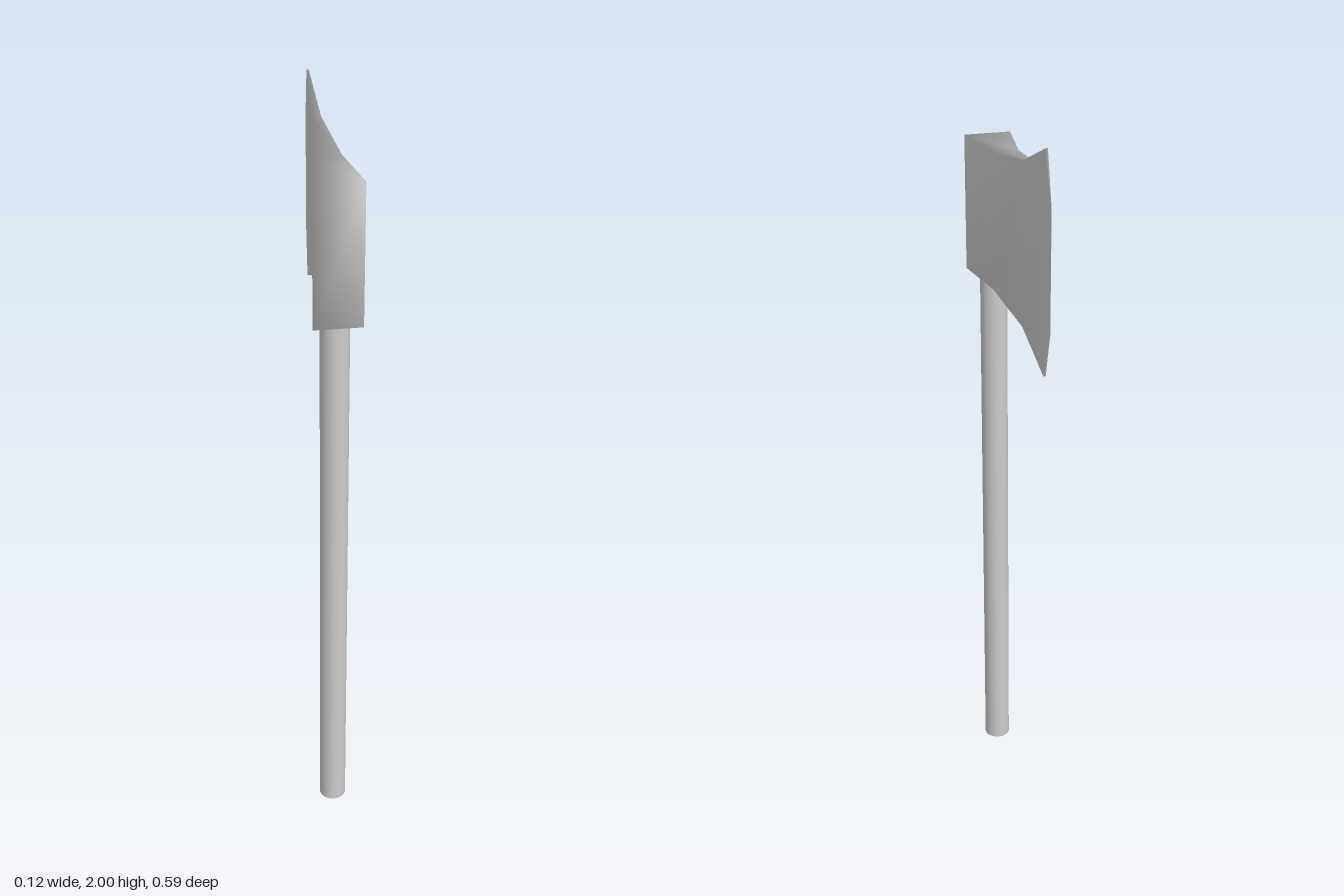
import * as THREE from 'three';

const material = new THREE.MeshStandardMaterial({ color: 0xcccccc });

// Four-cornered cross-sections from the poll (front) to the cutting edge (back)
const SECTIONS = [
  // z, half width, bottom, top
  [0.295, 0.062, 1.535, 1.9],
  [0.11, 0.034, 1.535, 1.9],
  [-0.09, 0.012, 1.505, 1.93],
  [-0.25, 0.003, 1.435, 2.0],
  [-0.293, 0.0005, 1.56, 1.87],
];

function loft(sections) {
  const positions = [];
  const index = [];
  for (const [z, w, bottom, top] of sections) {
    positions.push(-w, bottom, z, w, bottom, z, w, top, z, -w, top, z);
  }
  for (let i = 0; i < sections.length - 1; i++) {
    for (let j = 0; j < 4; j++) {
      const a = i * 4 + j;
      const b = i * 4 + ((j + 1) % 4);
      index.push(a, a + 4, b + 4, a, b + 4, b);
    }
  }
  // End caps
  const e = (sections.length - 1) * 4;
  index.push(0, 1, 2, 0, 2, 3, e, e + 2, e + 1, e, e + 3, e + 2);
  const geometry = new THREE.BufferGeometry();
  geometry.setAttribute('position', new THREE.Float32BufferAttribute(positions, 3));
  geometry.setIndex(index);
  geometry.computeVertexNormals();
  return geometry;
}

export function createModel() {
  const axe = new THREE.Group();
  axe.name = 'axe';

  // Wedge-shaped head with a flared blade
  const head = new THREE.Mesh(loft(SECTIONS), material);
  head.name = 'axeHead';
  axe.add(head);

  // Round shaft, seated slightly into the head
  const length = 1.55;
  const handle = new THREE.Mesh(new THREE.CylinderGeometry(0.037, 0.037, length, 32), material);
  handle.name = 'handle';
  handle.position.set(0, length / 2, 0.24);
  axe.add(handle);

  return axe;
}
